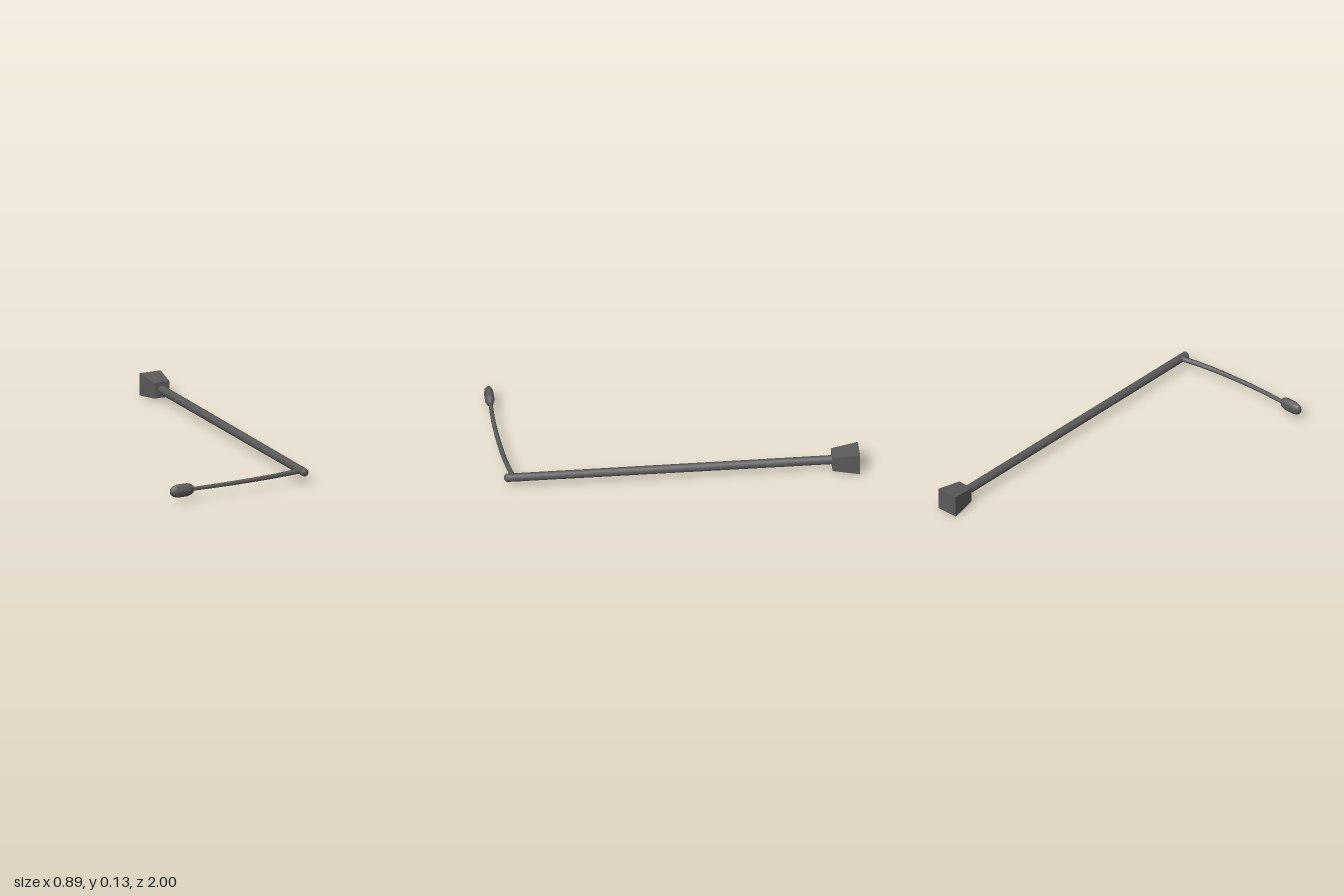
import * as THREE from 'three';

export function createModel() {
  const group = new THREE.Group();
  group.name = 'streetLamp';
  const grey = new THREE.MeshStandardMaterial({ color: 0x5a5a5a });
  grey.name = 'darkGrey';
  const cx = 0.382, cy = 0.066;

  const add = (name, geometry, x = 0, y = 0, z = 0) => {
    const mesh = new THREE.Mesh(geometry, grey);
    mesh.name = name;
    mesh.position.set(x, y, z);
    group.add(mesh);
    return mesh;
  };

  // Round or square section running along z, wider or narrower at the front
  const along = (rFront, rBack, z0, z1, sides, turn = 0) =>
    new THREE.CylinderGeometry(rFront, rBack, z1 - z0, sides)
      .rotateY(turn).rotateX(Math.PI / 2).translate(0, 0, (z0 + z1) / 2);

  // Square tapered foot
  const q = Math.SQRT2;
  const foot = along(0.045 * q, 0.064 * q, -1, -0.85, 4, Math.PI / 4).toNonIndexed();
  foot.computeVertexNormals();
  add('foot', foot, cx, cy, 0);

  // Pole with a shallow pointed cap
  add('pole', along(0.023, 0.025, -0.86, 0.95, 10), cx, cy, 0);
  add('poleCap', along(0.006, 0.023, 0.95, 0.96, 10), cx, cy, 0);

  // Curved arm, tapering towards the lamp
  const path = new THREE.CatmullRomCurve3([
    [0.385, 0.065, 0.905], [0.3, 0.067, 0.924], [0.18, 0.067, 0.944],
    [0, 0.067, 0.961], [-0.15, 0.067, 0.969], [-0.32, 0.066, 0.969],
  ].map(p => new THREE.Vector3(...p)));
  const rings = 16, sides = 8;
  const armGeometry = new THREE.TubeGeometry(path, rings, 0.015, sides);
  const pos = armGeometry.attributes.position;
  const v = new THREE.Vector3();
  for (let i = 0; i < pos.count; i++) {
    const t = Math.floor(i / (sides + 1)) / rings;
    const c = path.getPointAt(t);
    v.fromBufferAttribute(pos, i).sub(c).multiplyScalar(1 - 0.25 * t).add(c);
    pos.setXYZ(i, v.x, v.y, v.z);
  }
  add('arm', armGeometry);

  // Flattened oval lamp head
  const profile = [
    [0, -0.071], [0.016, -0.069], [0.03, -0.055], [0.038, -0.03],
    [0.038, 0.03], [0.03, 0.055], [0.014, 0.07], [0, 0.071],
  ].map(p => new THREE.Vector2(...p));
  const head = new THREE.LatheGeometry(profile, 12).rotateZ(-Math.PI / 2).scale(1, 1, 0.7);
  head.computeVertexNormals();
  add('lampHead', head, -0.378, cy, 0.97);

  return group;
}
